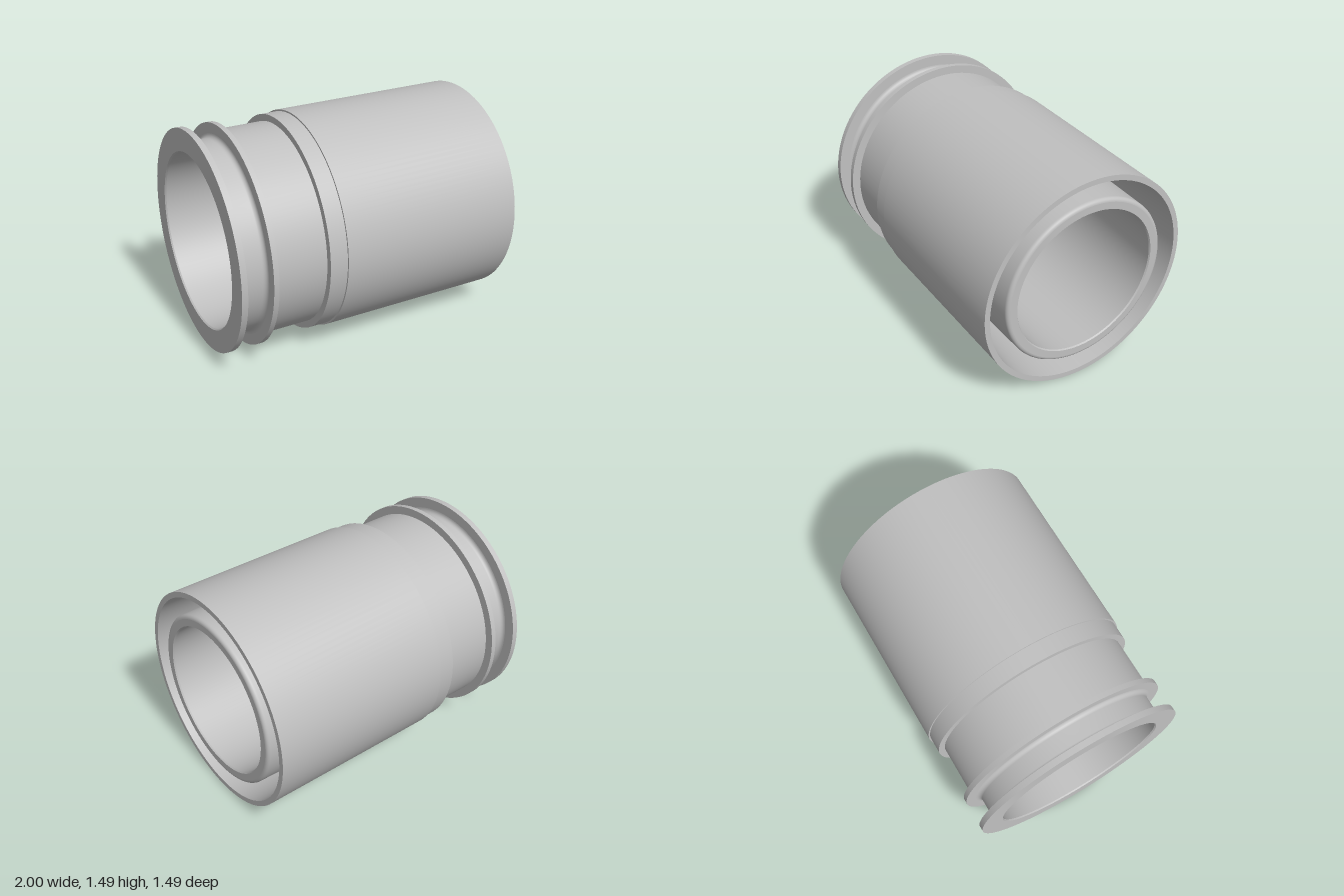
import * as THREE from 'three';

const R = 0.747; // largest radius, also the height of the axis
const metal = new THREE.MeshStandardMaterial({ color: 0xc0c0c0 });
metal.name = 'light grey metal';

// Quarter-round points about (cx, cr), given as [x, radius]
function arc(cx, cr, r, from, to, steps = 6) {
  return Array.from({ length: steps + 1 }, (_, i) => {
    const a = THREE.MathUtils.degToRad(from + (to - from) * i / steps);
    return [cx + r * Math.cos(a), cr + r * Math.sin(a)];
  });
}

// Each smooth run of the section is revolved alone, so edges between runs stay sharp
function revolve(name, runs) {
  const group = new THREE.Group();
  group.name = name;
  runs.forEach((run, i) => {
    const geometry = new THREE.LatheGeometry(run.map(([x, r]) => new THREE.Vector2(r, x)), 128);
    geometry.rotateZ(-Math.PI / 2);
    const mesh = new THREE.Mesh(geometry, metal);
    mesh.name = name + 'Surface' + (i + 1);
    group.add(mesh);
  });
  return group;
}

// Straight-sided runs: one for every pair of neighbouring points
const straight = (points) => points.slice(1).map((p, i) => [points[i], p]);

export function createModel() {
  const model = new THREE.Group();
  model.name = 'sleeve';

  // End flange with its flat face
  model.add(revolve('endFlange', straight([[-1, 0.595], [-1, R], [-0.96, R], [-0.96, 0.675]])));

  // Groove with rounded corners
  model.add(revolve('ringGroove', [[
    ...arc(-0.93, 0.675, 0.03, 180, 270), ...arc(-0.82, 0.675, 0.03, 270, 360),
  ]]));

  // Second flange, neck, shoulder and main barrel
  model.add(revolve('collar', straight([[-0.79, 0.675], [-0.79, R], [-0.755, R], [-0.755, 0.69]])));
  model.add(revolve('neck', straight([[-0.755, 0.69], [-0.4, 0.69]])));
  model.add(revolve('shoulder', straight([[-0.4, 0.69], [-0.4, 0.736], [-0.28, 0.736], [-0.28, R]])));
  model.add(revolve('barrel', straight([[-0.28, R], [1, R], [1, 0.71]])));

  // Deep tapered channel between barrel and inner tube
  model.add(revolve('channel', straight([[1, 0.71], [-0.2, 0.67], [-0.2, 0.606]])));

  // Inner tube: tapered outside, rounded lip and flat end
  model.add(revolve('innerTube', [
    [[-0.2, 0.606], [0.97, 0.59], ...arc(0.975, 0.565, 0.025, 90, 0)],
    [[1, 0.565], [1, 0.516]],
  ]));

  // Bore, wider at the flange end
  model.add(revolve('bore', [
    [[1, 0.516], [0.99, 0.51]],
    [[0.99, 0.51], [-0.6, 0.58]],
    [[-0.6, 0.58], [-0.99, 0.588]],
    [[-0.99, 0.588], [-1, 0.595]],
  ]));

  model.position.y = R;
  return model;
}
